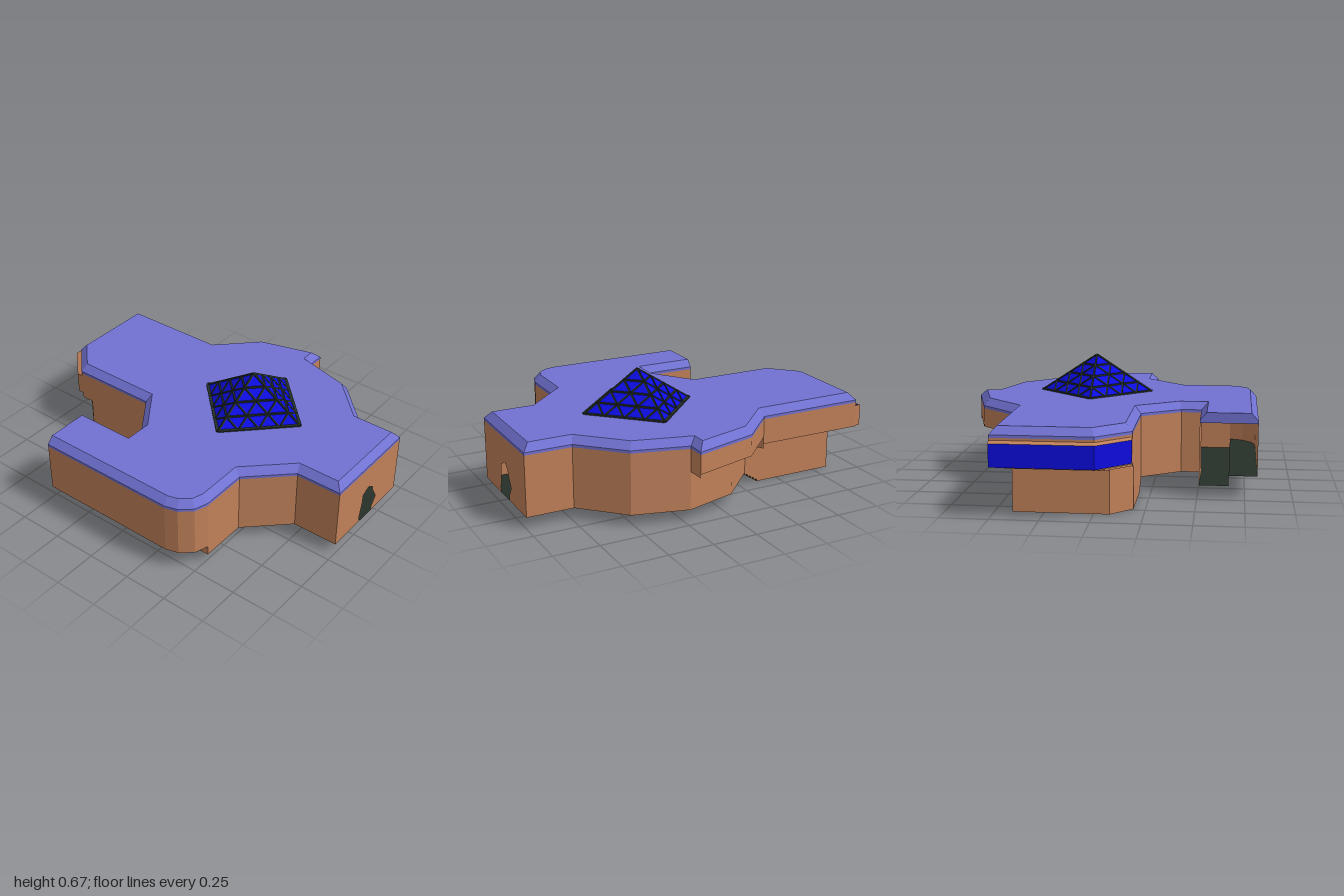
import * as THREE from 'three';

const mat = (name, color) => {
  const m = new THREE.MeshStandardMaterial({ color, side: THREE.DoubleSide });
  m.name = name;
  return m;
};

export function createModel() {
  const clay = mat('clay wall', 0xc08059);
  const violet = mat('violet roof', 0x7171d2);
  const blue = mat('blue glass', 0x0c0ce0);
  const dark = mat('dark floor', 0x252f27);
  const model = new THREE.Group();

  const add = (parent, name, geo, material) => {
    const mesh = new THREE.Mesh(geo, material);
    mesh.name = name;
    parent.add(mesh);
    return mesh;
  };
  const group = (name) => {
    const g = new THREE.Group();
    g.name = name;
    model.add(g);
    return g;
  };
  // Faceted strip of quads between two rows of [x, y, z] points
  const strip = (low, high) => {
    const p = [];
    for (let i = 0; i + 1 < low.length; i++) {
      p.push(...low[i], ...low[i + 1], ...high[i + 1], ...low[i], ...high[i + 1], ...high[i]);
    }
    const geo = new THREE.BufferGeometry();
    geo.setAttribute('position', new THREE.Float32BufferAttribute(p, 3));
    geo.computeVertexNormals();
    return geo;
  };
  const at = (path, y) => path.map(([x, z]) => [x, y, z]);
  const wall = (path, y0, y1) => strip(at(path, y0), at(path, y1));
  const ledge = (a, b, y) => strip(at(a, y), at(b, y));
  const shape = (pts) => new THREE.Shape(pts.map(([x, y]) => new THREE.Vector2(x, y)));
  // Horizontal polygon from [x, z] points
  const slab = (path, y) =>
    new THREE.ShapeGeometry(shape(path.map(([x, z]) => [x, -z]))).rotateX(-Math.PI / 2).translate(0, y, 0);
  const mix = (a, b, t) => a.map(([x, z], i) => [x + (b[i][0] - x) * t, z + (b[i][1] - z) * t]);

  const FLOOR = 0.065, WING = 0.12, EAVE = 0.4;

  // Plan outlines as [x, z]
  const wingCurve = [[-0.815, -0.455], [-0.815, 0.36], [-0.795, 0.43], [-0.74, 0.495], [-0.665, 0.52]];
  const wingInner = [[-0.19, -0.3], [-0.4, -0.15], [-0.51, -0.15], [-0.51, -0.455]];
  const frontLeft = [[-0.665, 0.52], [-0.4, 0.52], [-0.19, 0.74], [-0.19, 1]];
  const frontRight = [[0.41, 1], [0.41, 0.74], [0.63, 0.52], [0.71, 0.22]];
  const baseRear = [[-0.19, -0.73], [-0.08, -0.845], [0.41, -0.845], [0.41, -0.29]];
  const baseRight = [[0.41, -0.29], [0.63, -0.07], [0.71, 0.22]];
  const upperRear = [[-0.19, -0.8], [-0.02, -0.965], [0.5, -0.965], [0.5, -0.35]];
  const upperRight = [[0.5, -0.35], [0.71, -0.14], [0.81, 0.22]];

  // Main walls
  const walls = group('walls');
  add(walls, 'wingOuterWall', wall(wingCurve, WING, EAVE), clay);
  add(walls, 'wingInnerWall', wall(wingInner, FLOOR, EAVE), clay);
  add(walls, 'frontLeftWall', wall(frontLeft, FLOOR, EAVE), clay);
  add(walls, 'frontRightWall', wall(frontRight, FLOOR, EAVE), clay);
  add(walls, 'wingFloorRiser', wall([[-0.665, 0.52], [-0.665, -0.455]], FLOOR, WING), clay);
  // Front wall with a ragged doorway
  add(walls, 'frontWall', new THREE.ShapeGeometry(shape([
    [-0.19, FLOOR], [0.045, FLOOR], [0.038, 0.09], [0.06, 0.19], [0.062, 0.235], [0.117, 0.262], [0.155, 0.235],
    [0.16, 0.21], [0.2, 0.145], [0.162, 0.09], [0.165, FLOOR], [0.41, FLOOR], [0.41, EAVE], [-0.19, EAVE],
  ])).translate(0, 0, 1), clay);

  // Recessed base at the rear and right
  const STEPS = 5, z0 = -0.29, run = 0.02;
  const zEnd = z0 - STEPS * run;
  add(walls, 'rearBaseWall', wall([[-0.19, zEnd], ...baseRear.slice(0, 3), [0.41, zEnd]], 0, 0.23), clay);
  add(walls, 'rightBaseWall', wall(baseRight, FLOOR, 0.275), clay);
  add(walls, 'rearLeftWall', wall([[-0.19, -0.29], [-0.19, -0.73], [-0.19, -0.8]], 0.23, EAVE), clay);

  // Stepped underside joining the front floor to the deeper rear floor
  const stairs = group('stairs');
  for (let i = 0; i < STEPS; i++) {
    const za = z0 - i * run, zb = za - run;
    const ya = FLOOR * (1 - i / STEPS), yb = FLOOR * (1 - (i + 1) / STEPS);
    add(stairs, 'riser', wall([[-0.19, za], [0.41, za]], yb, ya), dark);
    add(stairs, 'tread', ledge([[-0.19, za], [0.41, za]], [[-0.19, zb], [0.41, zb]], yb), dark);
    for (const x of [-0.19, 0.41]) add(stairs, 'stairSideWall', wall([[x, za], [x, zb]], yb, 0.23), clay);
  }

  // Overhanging upper storey on terraced corbels
  const overhang = group('overhang');
  const corbel = (a, b, y, rise) => {
    for (let i = 0; i < 3; i++) {
      const inner = mix(a, b, i / 3), outer = mix(a, b, (i + 1) / 3);
      add(overhang, 'corbelUnderside', ledge(inner, outer, y + i * rise), clay);
      add(overhang, 'corbelFace', wall(outer, y + i * rise, i < 2 ? y + (i + 1) * rise : EAVE), clay);
    }
  };
  corbel(baseRear, upperRear, 0.23, 0.013);
  corbel(baseRight, upperRight, 0.275, 0.01);
  add(overhang, 'cornerCheek', wall([[0.41, -0.29], [0.5, -0.35]], 0.23, 0.295), clay);
  add(overhang, 'frontCheek', wall([[0.71, 0.22], [0.81, 0.22]], 0.275, EAVE), clay);

  // Projecting rear window band
  const rearWindow = group('rearWindow');
  const backing = upperRear.slice(0, 3);
  const pane = [[-0.19, -0.835], [-0.025, -1], [0.495, -1]];
  add(rearWindow, 'windowPane', wall(pane, 0.26, 0.378), blue);
  add(rearWindow, 'windowHood', strip(at(backing, 0.388), at(pane, 0.378)), clay);
  add(rearWindow, 'windowSill', ledge(backing, pane, 0.26), clay);
  for (const i of [0, 2]) add(rearWindow, 'windowEnd', wall([backing[i], pane[i]], 0.26, 0.382), clay);

  // Floors
  const floors = group('floors');
  add(floors, 'mainFloor', slab([
    ...frontLeft, ...frontRight, [0.63, -0.07], [0.41, -0.29], [-0.19, -0.29], ...wingInner.slice(1), [-0.665, -0.455],
  ], FLOOR), dark);
  add(floors, 'wingFloor', slab([...wingCurve, [-0.665, -0.455]], WING), dark);
  add(floors, 'rearFloor', slab([[-0.19, zEnd], ...baseRear.slice(0, 3), [0.41, zEnd]], 0), dark);

  // Roof with bevelled eaves, cut square at the wing end
  const plan = [
    [-0.19, 1], ...frontRight, ...[...upperRight].reverse(), ...[...upperRear].reverse().slice(1),
    ...wingInner, ...wingCurve, ...frontLeft.slice(1, 3),
  ];
  const n = plan.length;
  const edges = plan.map(([x, z], i) => {
    const [x2, z2] = plan[(i + 1) % n];
    const len = Math.hypot(x2 - x, z2 - z);
    const nx = (z2 - z) / len, nz = (x - x2) / len;
    const inset = z === -0.455 && z2 === -0.455 ? 0 : 0.036;
    return { nx, nz, c: nx * x + nz * z + inset };
  });
  const top = plan.map((_, i) => {
    const a = edges[(i + n - 1) % n], b = edges[i];
    const det = a.nx * b.nz - a.nz * b.nx;
    return [(a.c * b.nz - b.c * a.nz) / det, (a.nx * b.c - b.nx * a.c) / det];
  });
  const loop = (p) => [...p, p[0]];
  const roof = group('roof');
  add(roof, 'fascia', wall(loop(plan), EAVE, 0.415), violet);
  add(roof, 'bevel', strip(at(loop(plan), 0.415), at(loop(top), 0.455)), violet);
  add(roof, 'roofTop', slab(top, 0.455), violet);

  // Glazed pyramid skylight
  const skylight = group('skylight');
  skylight.position.set(0.115, 0.455, 0.225);
  const R = 0.32, H = 0.21, DIV = 4;
  const glass = new THREE.ConeGeometry(R, H, 4, 1, true).toNonIndexed();
  glass.computeVertexNormals();
  add(skylight, 'glass', glass, blue).position.y = H / 2;

  // Triangular lattice of glazing bars
  const bar = (a, b, w) => {
    const mesh = add(skylight, 'glazingBar', new THREE.BoxGeometry(w, w, a.distanceTo(b)), dark);
    mesh.position.copy(a).add(b).multiplyScalar(0.5);
    mesh.quaternion.setFromUnitVectors(new THREE.Vector3(0, 0, 1), b.clone().sub(a).normalize());
  };
  const apex = new THREE.Vector3(0, H, 0);
  const corner = (k) => new THREE.Vector3(R * Math.cos(k * Math.PI / 2), 0, R * Math.sin(k * Math.PI / 2));
  for (let k = 0; k < 4; k++) {
    const a = corner(k), b = corner(k + 1);
    bar(a, apex, 0.01);
    bar(a, b, 0.016);
    for (let i = 1; i < DIV; i++) {
      const t = i / DIV;
      const onBase = a.clone().lerp(b, t);
      bar(a.clone().lerp(apex, t), b.clone().lerp(apex, t), 0.009);
      bar(onBase, b.clone().lerp(apex, 1 - t), 0.009);
      bar(onBase, a.clone().lerp(apex, t), 0.009);
    }
  }
  return model;
}
